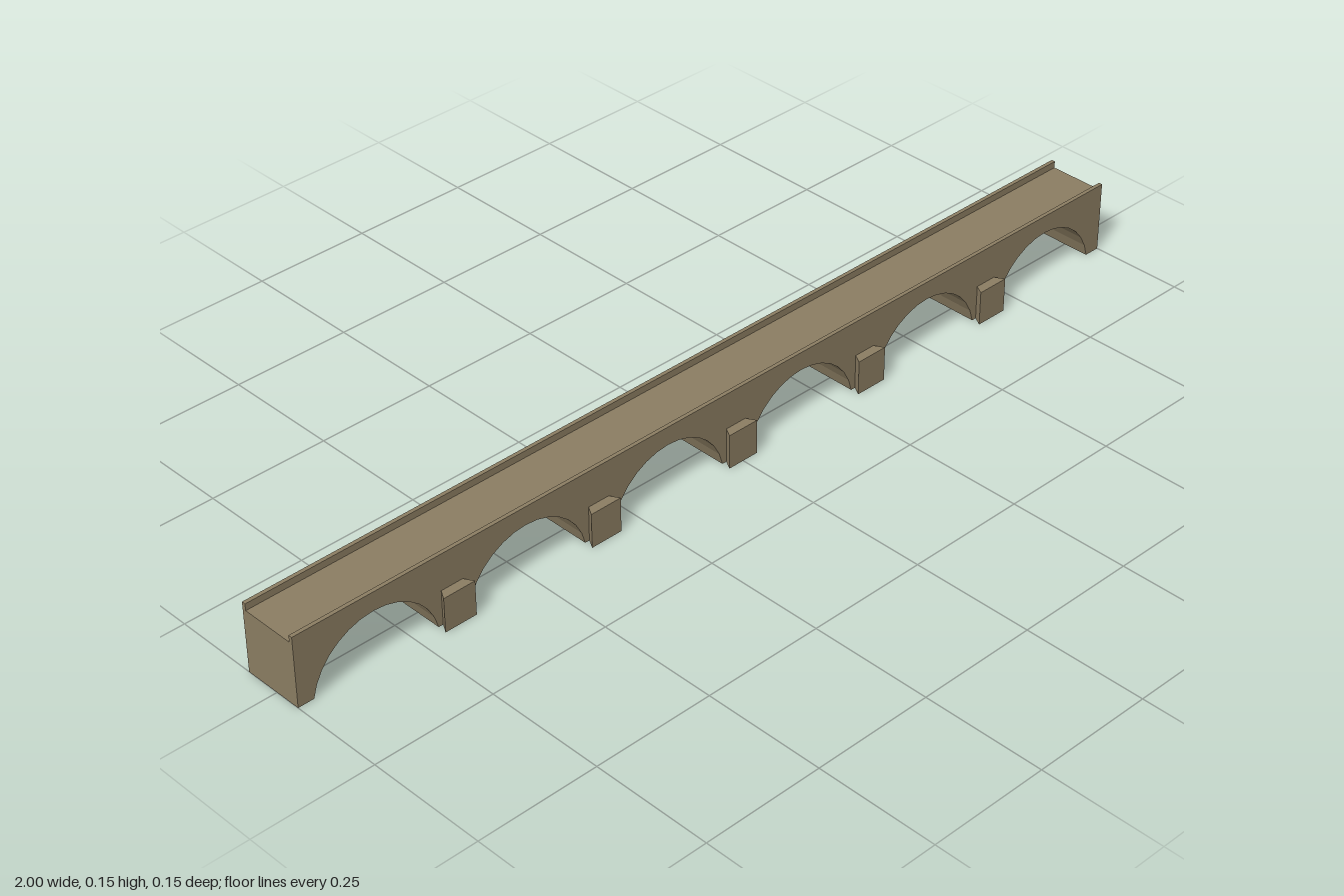
import * as THREE from 'three';

const stone = new THREE.MeshStandardMaterial({ color: 0x8b7d62, flatShading: true });
const ARCHES = 6, SPAN = 2 / ARCHES;
const BACK = -0.074, FACE = 0.055;        // faces of the main wall
const DECK = 0.133, TOP = 0.147, PARAPET = 0.008;
const RADIUS = 0.136, CENTRE_Y = -0.027;  // arch circle, centred just below ground

function add(group, name, geometry, x, y, z) {
  const mesh = new THREE.Mesh(geometry, stone);
  mesh.name = name;
  mesh.position.set(x, y, z);
  group.add(mesh);
  return mesh;
}

// Wall outline with the arches cut into its lower edge
function arcadeShape() {
  const shape = new THREE.Shape();
  const spring = Math.asin(-CENTRE_Y / RADIUS), steps = 14;
  shape.moveTo(-1, 0);
  for (let i = 0; i < ARCHES; i++) {
    const cx = -1 + (i + 0.5) * SPAN;
    for (let s = 0; s <= steps; s++) {
      const a = Math.PI - spring - (Math.PI - 2 * spring) * s / steps;
      shape.lineTo(cx + RADIUS * Math.cos(a), Math.max(0, CENTRE_Y + RADIUS * Math.sin(a)));
    }
  }
  shape.lineTo(1, 0);
  shape.lineTo(1, DECK);
  shape.lineTo(-1, DECK);
  shape.closePath();
  return shape;
}

export function createModel() {
  const bridge = new THREE.Group();
  bridge.name = 'archedBridge';

  // Piers, arches and deck in one extrusion
  const body = new THREE.ExtrudeGeometry(arcadeShape(), { depth: FACE - BACK, bevelEnabled: false });
  add(bridge, 'arcade', body, 0, 0, BACK);

  // Low walls along both edges of the deck
  const parapet = new THREE.BoxGeometry(2, TOP - DECK, PARAPET);
  for (const [name, z] of [['frontParapet', FACE - PARAPET / 2], ['backParapet', BACK + PARAPET / 2]]) {
    add(bridge, name, parapet, 0, (TOP + DECK) / 2, z);
  }

  // Triangular cutwaters on the front of each pier, flat side outward
  const height = 0.072, r = 0.04;
  const cutwater = new THREE.CylinderGeometry(r, r, height, 3).rotateY(Math.PI);
  for (let i = 1; i < ARCHES; i++) {
    add(bridge, 'cutwater' + i, cutwater, -1 + i * SPAN, height / 2, 0.074 - r / 2);
  }
  return bridge;
}
